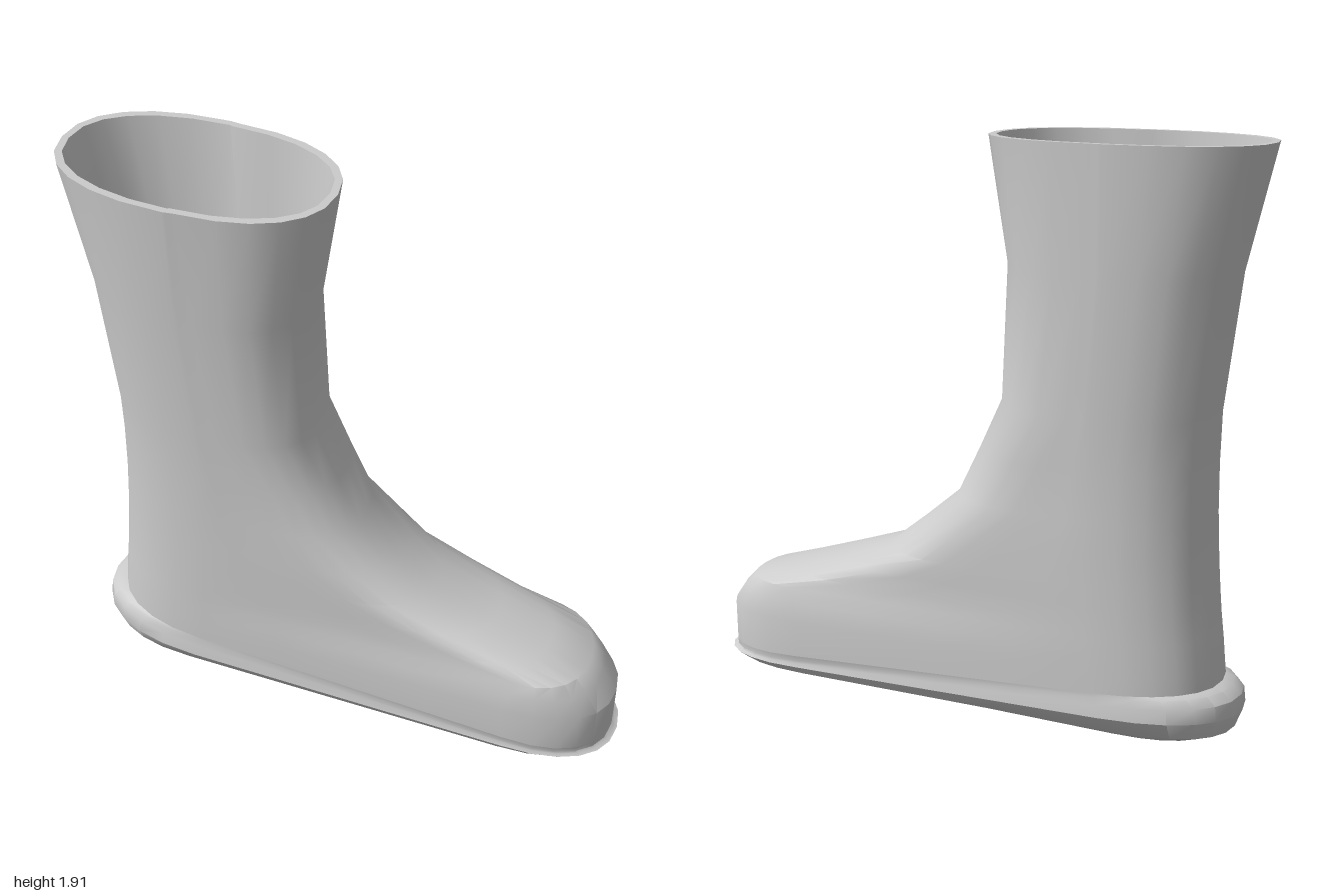
import * as THREE from 'three';
import { toCreasedNormals } from 'three/addons/utils/BufferGeometryUtils.js';

const CAP = 12, SIDE = 4, WALL = 0.025;

// Levels: yBack, yFront, xBack, xFront, half width back, half width front, back cap length, front cap length
const sole = [
  [0.0, 0.03, -0.84, 0.90, 0.0, 0.0, 0.30, 0.30],
  [0.0, 0.03, -0.84, 0.90, 0.19, 0.19, 0.30, 0.32],
  [0.03, 0.035, -0.91, 0.96, 0.235, 0.235, 0.36, 0.35],
  [0.09, 0.05, -0.935, 0.99, 0.27, 0.25, 0.42, 0.36],
  [0.14, 0.055, -0.93, 0.975, 0.265, 0.245, 0.42, 0.34],
  [0.17, 0.06, -0.90, 0.97, 0.26, 0.245, 0.40, 0.34],
];
const upper = [
  [0.18, 0.08, -0.865, 0.97, 0.26, 0.25, 0.38, 0.34],
  [0.23, 0.22, -0.86, 0.975, 0.26, 0.25, 0.38, 0.35],
  [0.29, 0.29, -0.855, 0.925, 0.26, 0.24, 0.38, 0.28],
  [0.335, 0.335, -0.85, 0.88, 0.26, 0.225, 0.38, 0.22],
  [0.38, 0.38, -0.845, 0.74, 0.26, 0.225, 0.38, 0.32],
  [0.44, 0.44, -0.84, 0.55, 0.26, 0.235, 0.38, 0.34],
  [0.51, 0.51, -0.835, 0.33, 0.26, 0.24, 0.38, 0.28],
  [0.60, 0.60, -0.83, 0.215, 0.26, 0.245, 0.38, 0.28],
  [0.72, 0.72, -0.825, 0.07, 0.26, 0.245, 0.37, 0.28],
  [0.88, 0.88, -0.825, -0.01, 0.26, 0.25, 0.37, 0.28],
  [1.05, 1.05, -0.83, -0.09, 0.265, 0.26, 0.36, 0.30],
  [1.50, 1.50, -0.89, -0.11, 0.28, 0.275, 0.38, 0.34],
  [1.912, 1.912, -0.995, -0.04, 0.305, 0.30, 0.48, 0.44],
];

// Move a level inwards by the wall thickness
const inset = ([yb, yf, xb, xf, hb, hf, lb, lf]) =>
  [yb, yf, xb + WALL, xf - WALL, hb - WALL, hf - WALL, lb, lf];

// One closed outline: rounded toe end, straight sides, rounded heel end
function ring([yb, yf, xb, xf, hb, hf, lb, lf]) {
  const flat = [];
  const round = (v) => Math.sign(v) * Math.pow(Math.abs(v), 0.87);
  for (let i = 0; i <= CAP; i++) {
    const t = -Math.PI / 2 + Math.PI * i / CAP;
    flat.push([xf - lf + lf * round(Math.cos(t)), hf * round(Math.sin(t))]);
  }
  for (let i = 1; i < SIDE; i++) {
    const k = i / SIDE;
    flat.push([(xf - lf) * (1 - k) + (xb + lb) * k, hf * (1 - k) + hb * k]);
  }
  for (let i = 0; i <= CAP; i++) {
    const t = Math.PI / 2 - Math.PI * i / CAP;
    flat.push([xb + lb - lb * round(Math.cos(t)), hb * round(Math.sin(t))]);
  }
  for (let i = 1; i < SIDE; i++) {
    const k = i / SIDE;
    flat.push([(xb + lb) * (1 - k) + (xf - lf) * k, -hb * (1 - k) - hf * k]);
  }
  // The foot axis swings slightly towards the front
  return flat.map(([x, w]) => [x, yb + (yf - yb) * (x + 0.9) / 1.87, 0.02 + 0.1 * x + w]);
}

// Skin a stack of levels, facing outwards when listed upwards
function loft(levels) {
  const rings = levels.map(ring);
  const n = rings[0].length;
  const index = [];
  for (let j = 0; j < rings.length - 1; j++) {
    for (let i = 0; i < n; i++) {
      const a = j * n + i, b = j * n + (i + 1) % n;
      index.push(a, a + n, b, b, a + n, b + n);
    }
  }
  const geo = new THREE.BufferGeometry();
  geo.setAttribute('position', new THREE.Float32BufferAttribute(rings.flat(2), 3));
  geo.setIndex(index);
  return toCreasedNormals(geo, 0.6);
}

export function createModel() {
  const boot = new THREE.Group();
  boot.name = 'boot';
  const material = new THREE.MeshStandardMaterial({ color: 0xcccccc });
  const add = (name, levels) => {
    const mesh = new THREE.Mesh(loft(levels), material);
    mesh.name = name;
    boot.add(mesh);
  };

  const top = upper[upper.length - 1];
  const inner = upper.map(inset).reverse();
  const floor = inner[inner.length - 1].slice();
  floor[4] = floor[5] = 0;

  add('sole', [...sole, upper[0]]);       // sole with heel lip
  add('upper', upper);                    // foot and shaft
  add('rim', [top, inner[0]]);            // top edge
  add('lining', [...inner, floor]);       // inside wall and insole
  return boot;
}
